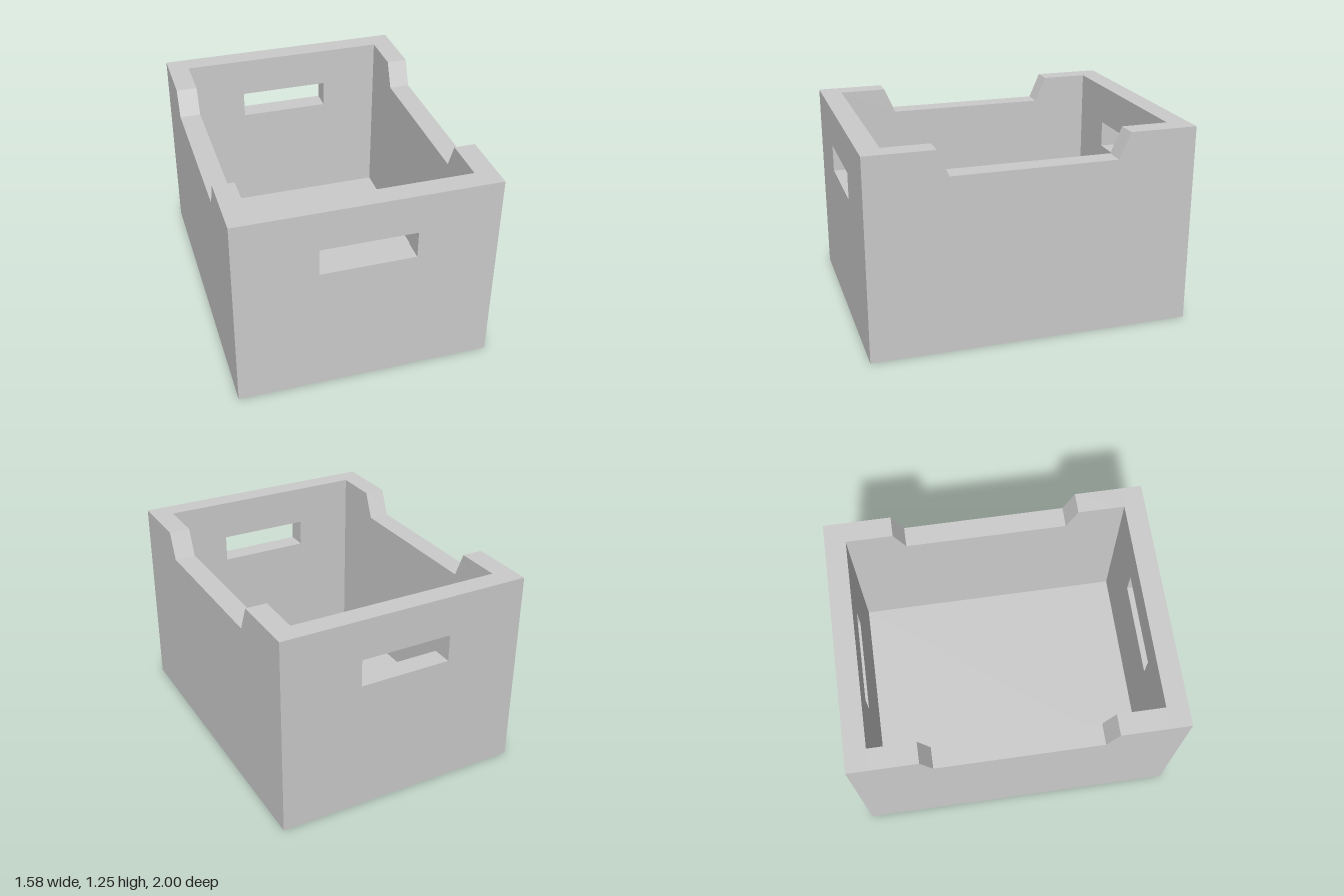
import * as THREE from 'three';

const WIDTH = 1.58, HEIGHT = 1.25, DEPTH = 2, WALL = 0.13;

// Extrudes an upright panel outline to wall thickness, centred on its plane
function panel(shape) {
  return new THREE.ExtrudeGeometry(shape, { depth: WALL, bevelEnabled: false })
    .translate(0, 0, -WALL / 2);
}

const outline = (points) => points.map(([x, y]) => new THREE.Vector2(x, y));

export function createModel() {
  const crate = new THREE.Group();
  crate.name = 'storageCrate';
  const material = new THREE.MeshStandardMaterial({ color: 0xcccccc, flatShading: true });

  const add = (name, geometry, x, y, z) => {
    const mesh = new THREE.Mesh(geometry, material);
    mesh.name = name;
    mesh.position.set(x, y, z);
    crate.add(mesh);
  };

  // End walls with a rectangular hand slot
  const w = WIDTH / 2;
  const endShape = new THREE.Shape(outline([[-w, 0], [w, 0], [w, HEIGHT], [-w, HEIGHT]]));
  endShape.holes.push(new THREE.Path(outline([[-0.29, 0.83], [-0.29, 1], [0.29, 1], [0.29, 0.83]])));
  const endWall = panel(endShape);
  const endZ = (DEPTH - WALL) / 2;
  add('frontWall', endWall, 0, 0, endZ);
  add('backWall', endWall, 0, 0, -endZ);

  // Side walls with a lowered, slant-ended top edge, fitted between the ends
  const d = DEPTH / 2 - WALL;
  const sideShape = new THREE.Shape(outline([
    [-d, 0], [d, 0], [d, HEIGHT], [0.58, HEIGHT], [0.51, 1.09],
    [-0.51, 1.09], [-0.58, HEIGHT], [-d, HEIGHT],
  ]));
  const sideWall = panel(sideShape).rotateY(-Math.PI / 2);
  const sideX = (WIDTH - WALL) / 2;
  add('leftWall', sideWall, sideX, 0, 0);
  add('rightWall', sideWall, -sideX, 0, 0);

  // Floor between the walls
  add('floor', new THREE.BoxGeometry(WIDTH - 2 * WALL, WALL, 2 * d), 0, WALL / 2, 0);

  return crate;
}
